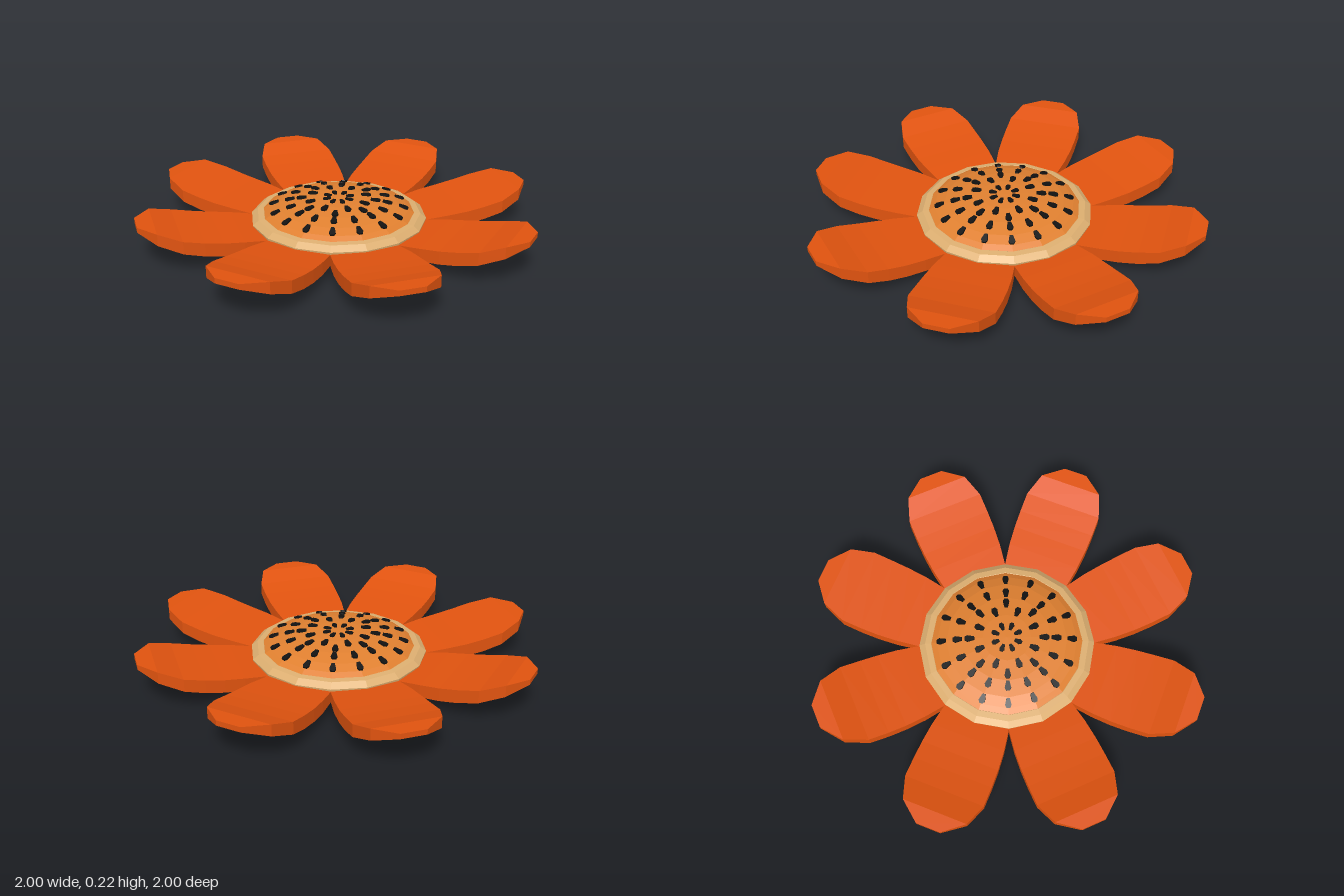
import * as THREE from 'three';

const paint = (color) => new THREE.MeshStandardMaterial({ color, flatShading: true });

// Petal cross-sections along its length: [radius, half width, bottom y, top y]
const SECTIONS = [
  [0.30, 0.125, 0.05, 0.09],
  [0.41, 0.17, 0.05, 0.105],
  [0.52, 0.188, 0.056, 0.12],
  [0.62, 0.197, 0.066, 0.132],
  [0.71, 0.2, 0.08, 0.147],
  [0.81, 0.2, 0.105, 0.168],
  [0.92, 0.16, 0.145, 0.203],
  [1.0, 0.06, 0.18, 0.206],
];

// Loft of four-cornered sections, closed at both ends
function petalGeometry() {
  const positions = [];
  const index = [];
  for (const [r, w, low, high] of SECTIONS) {
    positions.push(-w, low, r, w, low, r, w, high, r, -w, high, r);
  }
  const last = (SECTIONS.length - 1) * 4;
  for (let s = 0; s < last; s += 4) {
    for (let k = 0; k < 4; k++) {
      const a = s + k, b = s + ((k + 1) % 4);
      index.push(a, b, b + 4, a, b + 4, a + 4);
    }
  }
  index.push(0, 2, 1, 0, 3, 2, last, last + 1, last + 2, last, last + 2, last + 3);
  const geometry = new THREE.BufferGeometry();
  geometry.setAttribute('position', new THREE.Float32BufferAttribute(positions, 3));
  geometry.setIndex(index);
  const flat = geometry.toNonIndexed();
  flat.computeVertexNormals();
  return flat;
}

function lathe(name, profile, material) {
  const points = profile.map(([r, y]) => new THREE.Vector2(r, y));
  const mesh = new THREE.Mesh(new THREE.LatheGeometry(points, 16), material);
  mesh.name = name;
  return mesh;
}

// Height and slope of the domed centre
const DOME = [[0.38, 0.14], [0.35, 0.157], [0.3, 0.176], [0.22, 0.194], [0.12, 0.206], [0, 0.21]];
function domeAt(r) {
  for (let i = 0; i < DOME.length - 1; i++) {
    const [r1, y1] = DOME[i], [r0, y0] = DOME[i + 1];
    if (r >= r0) {
      const slope = (y1 - y0) / (r1 - r0);
      return { y: y0 + slope * (r - r0), slope };
    }
  }
}

// Small tapered seed lying along z
function seedGeometry() {
  const shape = new THREE.Shape();
  shape.moveTo(-0.008, -0.024);
  shape.lineTo(0.008, -0.024);
  shape.lineTo(0.016, 0.01);
  shape.lineTo(0.009, 0.024);
  shape.lineTo(-0.009, 0.024);
  shape.lineTo(-0.016, 0.01);
  const geometry = new THREE.ExtrudeGeometry(shape, { depth: 0.014, bevelEnabled: false });
  geometry.translate(0, 0, -0.007);
  geometry.rotateX(Math.PI / 2);
  return geometry;
}

export function createModel() {
  const flower = new THREE.Group();
  flower.name = 'flower';

  // Eight upturned petals
  const petals = new THREE.Group();
  petals.name = 'petals';
  const petalShape = petalGeometry();
  const petalPaint = paint(0xe0530f);
  for (let i = 0; i < 8; i++) {
    const petal = new THREE.Mesh(petalShape, petalPaint);
    petal.name = 'petal';
    petal.rotation.y = (i * Math.PI) / 4;
    petals.add(petal);
  }
  flower.add(petals);

  // Shallow conical base with a rim, and the domed centre inside it
  flower.add(lathe('baseAndRim',
    [[0, 0], [0.43, 0.047], [0.44, 0.115], [0.41, 0.138], [0.38, 0.142], [0.36, 0.13]], paint(0xdcae70)));
  flower.add(lathe('domedCentre', DOME, paint(0xe08030)));

  // Rings of seeds: [radius, count, angular offset in steps]
  const seeds = new THREE.Group();
  seeds.name = 'seeds';
  const seedShape = seedGeometry();
  const seedPaint = paint(0x111111);
  const rings = [[0.06, 8, 0], [0.145, 8, 0], [0.185, 8, 0.5], [0.245, 16, 0], [0.325, 16, 0]];
  for (const [r, count, offset] of rings) {
    const { y, slope } = domeAt(r);
    for (let i = 0; i < count; i++) {
      const spoke = new THREE.Group();
      spoke.name = 'seedSpoke';
      spoke.rotation.y = ((i + offset) / count) * Math.PI * 2;
      const seed = new THREE.Mesh(seedShape, seedPaint);
      seed.name = 'seed';
      seed.position.set(0, y + 0.002, r);
      seed.rotation.x = -Math.atan(slope);
      if (r < 0.1) seed.scale.setScalar(0.8);
      spoke.add(seed);
      seeds.add(spoke);
    }
  }
  flower.add(seeds);

  return flower;
}
